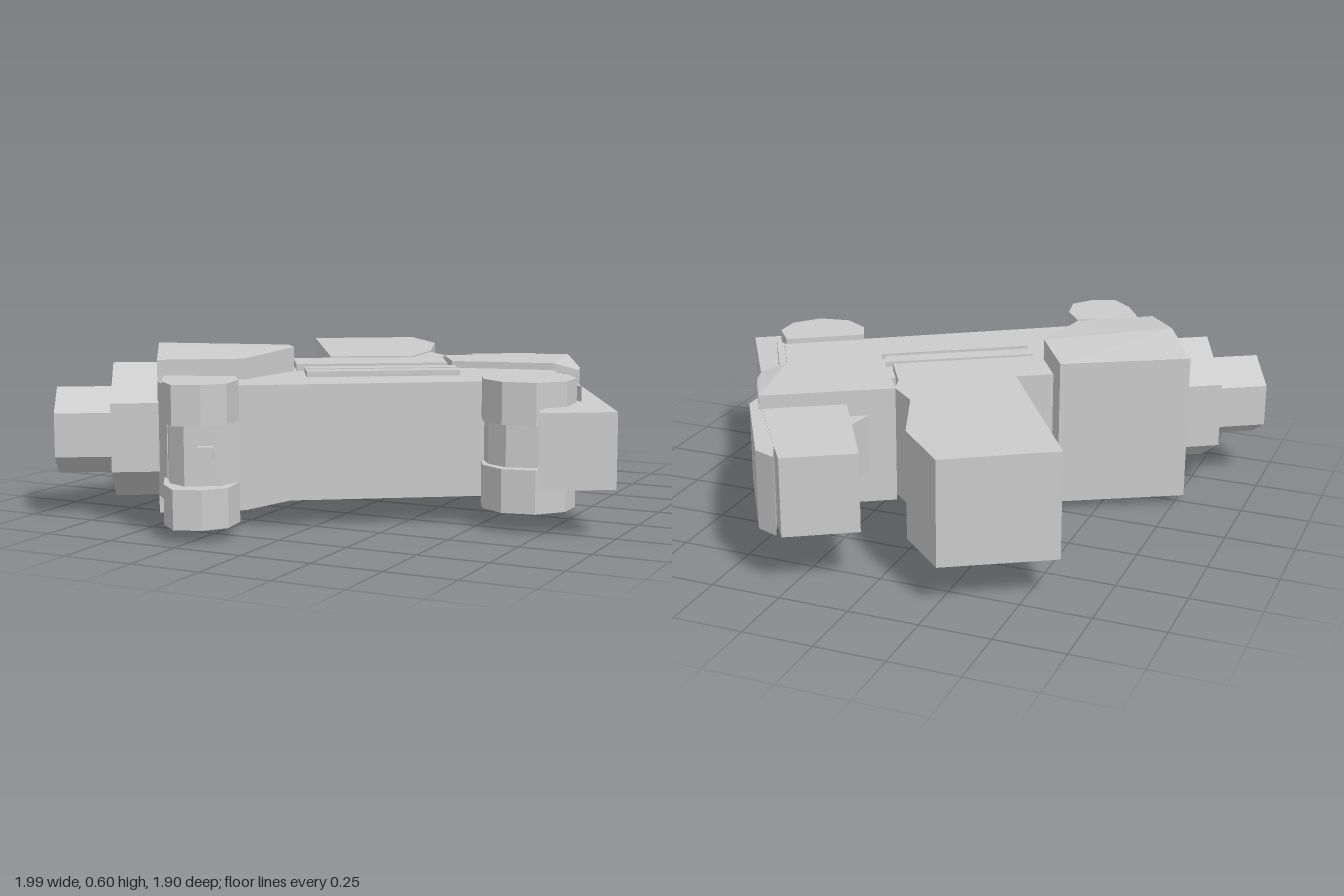
import * as THREE from 'three';
import { ConvexGeometry } from 'three/addons/geometries/ConvexGeometry.js';

const MID = 0.305;                                   // height of the symmetry plane
const AXIS = new THREE.Vector3(0.857, 0, -0.515);    // long direction of the body

export function createModel() {
  const model = new THREE.Group();
  const material = new THREE.MeshStandardMaterial({ color: 0xcccccc, flatShading: true });

  function add(name, geometry) {
    const mesh = new THREE.Mesh(geometry, material);
    mesh.name = name;
    model.add(mesh);
    return mesh;
  }

  // Upright convex block over a plan outline of [x, z] or [x, z, bottom, top]
  function block(name, y0, y1, plan) {
    const pts = [];
    for (const [x, z, b = y0, t = y1] of plan) {
      pts.push(new THREE.Vector3(x, b, z), new THREE.Vector3(x, t, z));
    }
    return add(name, new ConvexGeometry(pts));
  }

  // Main body with its raised rear slab
  block('body', 0.1, 0.5, [[-0.52, 0.67], [-0.41, 0.785], [-0.2, 0.65], [0.49, 0.19],
    [0.75, 0.03], [0.54, -0.33], [0.24, -0.15], [-0.34, 0.1]]);
  block('raisedSlab', 0.085, 0.525, [[-0.34, 0.02], [0.14, -0.26], [0.24, -0.09], [-0.23, 0.2]]);

  // Pairs of thin rails on the top and underside
  block('innerRail', 0.09, 0.52, [[-0.19, 0.215], [0.28, -0.07], [0.308, -0.01], [-0.155, 0.272]]);
  block('outerRail', 0.09, 0.52, [[-0.14, 0.3], [0.328, 0.005], [0.355, 0.065], [-0.105, 0.352]]);

  // Front shroud: two halves that meet in a shallow ridge
  const ridge = [[-0.655, 0.45, 0.005, 0.608], [-0.24, 0.2, 0.025, 0.588]];
  block('shroudRear', 0.038, 0.573, [[-0.785, 0.235], [-0.37, 0.005], ...ridge]);
  block('shroudFront', 0.038, 0.573, [[-0.52, 0.67], [-0.27, 0.505], ...ridge]);

  // Stepped six-sided muzzle
  function hexBar(name, radius, start, length) {
    const g = new THREE.CylinderGeometry(radius, radius, length, 6);
    g.rotateX(Math.PI / 2);                // lay along z, corners
    g.rotateZ(Math.PI / 2);                // then put a corner on top
    const pos = g.attributes.position;
    let top = 0;
    for (let i = 0; i < pos.count; i++) top = Math.max(top, pos.getY(i));
    if (top < radius * 0.95) g.rotateZ(Math.PI / 6);
    const bar = add(name, g);
    bar.quaternion.setFromUnitVectors(new THREE.Vector3(0, 0, 1), AXIS.clone().normalize());
    // keep the corner pointing straight up
    bar.rotation.set(0, Math.atan2(AXIS.x, AXIS.z), 0);
    bar.position.set(-0.93, MID, 0.69).addScaledVector(AXIS, start + length / 2);
  }
  hexBar('muzzleTip', 0.155, 0, 0.3);
  hexBar('muzzleCollar', 0.24, 0.2, 0.32);

  // Rounded lugs on the front side: two lobes around a recessed middle
  const frontPlan = [[-0.45, 0.74], [-0.415, 0.785], [-0.365, 0.88], [-0.285, 0.95],
    [-0.195, 0.915], [-0.14, 0.84], [-0.16, 0.73], [-0.22, 0.65]];
  block('frontLugUpper', 0.395, 0.53, frontPlan);
  block('frontLugLower', 0.05, 0.185, frontPlan);
  block('frontLugMiddle', 0.185, 0.395, [[-0.41, 0.78], [-0.36, 0.85], [-0.28, 0.885],
    [-0.18, 0.82], [-0.16, 0.73], [-0.22, 0.65]]);
  const button = add('lugButton', new THREE.BoxGeometry(0.055, 0.05, 0.08));
  button.position.set(-0.225, 0.295, 0.84);
  button.rotation.y = 0.54;

  const rearPlan = [[0.49, 0.19], [0.53, 0.275], [0.62, 0.33], [0.735, 0.31],
    [0.81, 0.22], [0.81, 0.12], [0.74, 0.03]];
  block('rearLugUpper', 0.375, 0.52, rearPlan);
  block('rearLugLower', 0.075, 0.225, rearPlan);
  block('rearLugMiddle', 0.225, 0.375, [[0.5, 0.19], [0.54, 0.25], [0.62, 0.29],
    [0.73, 0.26], [0.77, 0.1], [0.74, 0.03]]);

  // Rear end: spacer strip and long end bar
  block('endStrip', 0.12, 0.49, [[0.54, -0.33], [0.62, -0.25], [0.82, 0.1], [0.74, 0.04]]);
  block('endBar', 0.17, 0.43, [[0.56, -0.24], [0.68, -0.275, 0.165, 0.45],
    [0.995, 0.24], [0.77, 0.38]]);

  // Rear receiver over the handle
  block('receiver', 0.1, 0.525, [[0.125, -0.325], [0.535, -0.57], [0.6, -0.46, 0.12, 0.51],
    [0.66, -0.35, 0.12, 0.5], [0.68, -0.275, 0.12, 0.5], [0.6, -0.235], [0.54, -0.33],
    [0.235, -0.145]]);

  // Large magazine with a tapering front side and a joining wedge
  block('magazine', 0.12, 0.53, [[-0.61, -0.665, 0.15, 0.53], [-0.262, -0.882, 0.155, 0.53],
    [-0.075, -0.69, 0.14, 0.53], [0.03, -0.41], [0.05, -0.2], [-0.22, -0.05]]);
  block('magazineJoint', 0.12, 0.525, [[0.03, -0.41], [0.13, -0.32], [0.15, -0.24], [-0.03, -0.16]]);

  // Handle with back strap and trigger
  block('handle', 0.175, 0.475, [[0.035, -0.815, 0.2, 0.48], [0.258, -0.95, 0.2, 0.48],
    [0.53, -0.56], [0.5, -0.4], [0.28, -0.4]]);
  block('backStrap', 0.18, 0.47, [[0.28, -0.945, 0.2, 0.48], [0.36, -0.915, 0.2, 0.48],
    [0.6, -0.52], [0.6, -0.44], [0.5, -0.5]]);
  block('trigger', 0.22, 0.43, [[0.225, -0.49], [0.27, -0.42], [0.27, -0.36], [0.21, -0.38]]);

  return model;
}
